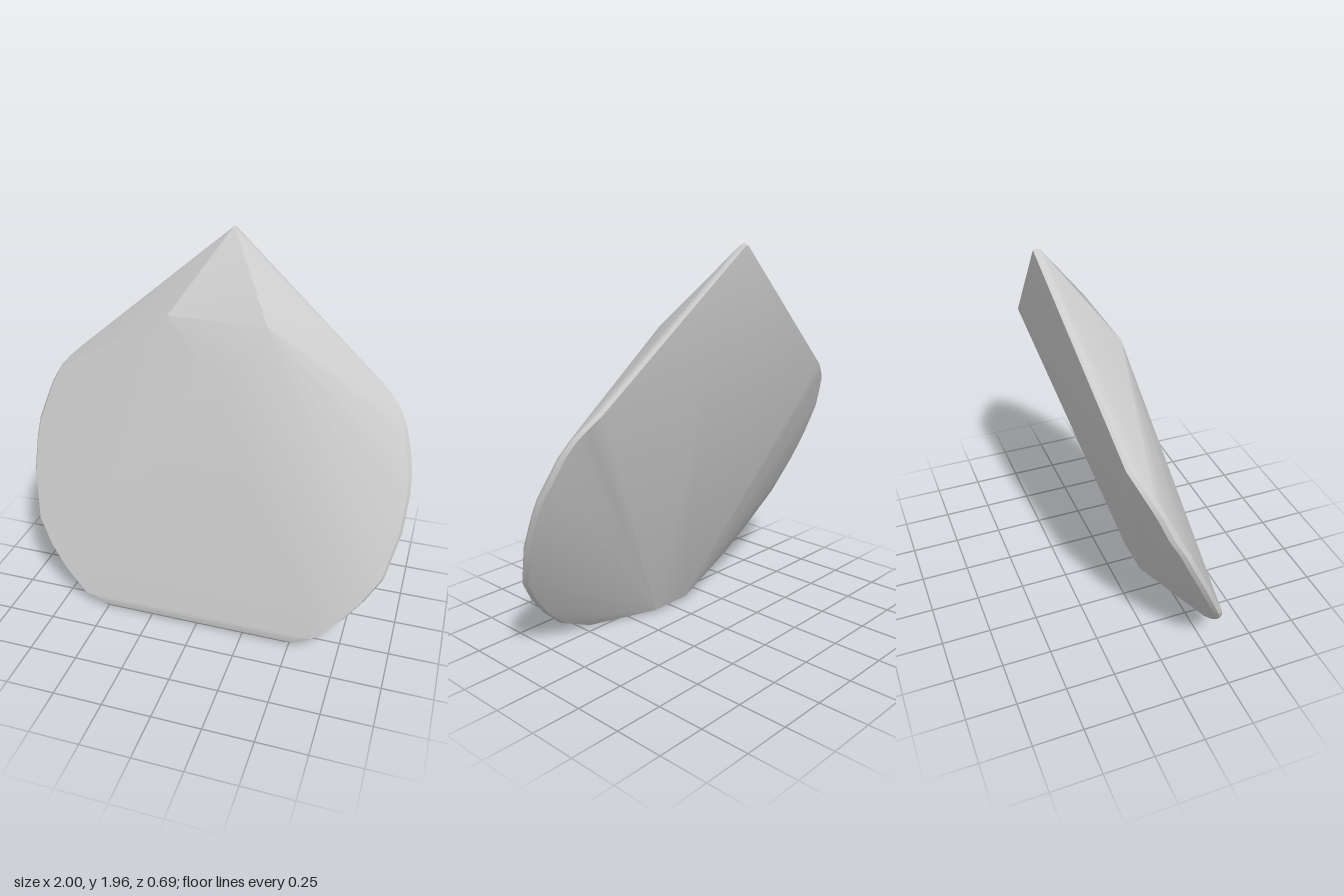
import * as THREE from 'three';
import { ConvexGeometry } from 'three/addons/geometries/ConvexGeometry.js';
import { toCreasedNormals } from 'three/addons/utils/BufferGeometryUtils.js';

// One half of the rim, from shoulder to base: x, y, z
const RIM = [
  [0.80, 1.28, -0.20], [0.855, 1.23, -0.175], [0.90, 1.18, -0.15], [0.94, 1.10, -0.11],
  [0.97, 1.00, -0.07], [0.99, 0.91, -0.02], [0.995, 0.82, 0.02], [0.985, 0.65, 0.10],
  [0.93, 0.43, 0.20], [0.85, 0.31, 0.25], [0.76, 0.20, 0.285], [0.63, 0.08, 0.32],
];

// Flat base edge, rounded from front to underside
const BASE = [
  [0.55, 0.06, 0.345], [0.52, 0.03, 0.342], [0.48, 0.012, 0.33], [0.45, 0.005, 0.30],
];

// Corners of the faceted front and back
const FACETS = [
  [0.25, 1.58, -0.03], // upper front shoulder
  [0.22, 1.48, -0.31], // upper back shoulder
  [0.116, 0.02, 0.15], // heel at the back of the base
];

export function createModel() {
  const points = [];
  const mirrored = (x, y, z) => {
    points.push(new THREE.Vector3(x, y, z), new THREE.Vector3(-x, y, z));
  };

  // The rim is a narrow rounded band
  for (const [x, y, z] of RIM) {
    mirrored(x - 0.01, y, z + 0.022);
    mirrored(x + 0.003, y, z);
    mirrored(x - 0.01, y, z - 0.022);
  }
  for (const p of [...BASE, ...FACETS]) mirrored(...p);

  // Front bulge and small blunt tip
  points.push(new THREE.Vector3(0, 1.33, 0.07));
  mirrored(0.008, 1.95, -0.31);
  mirrored(0.008, 1.95, -0.345);
  points.push(new THREE.Vector3(0, 1.96, -0.328));

  const geometry = toCreasedNormals(new ConvexGeometry(points), 0.35);
  const stone = new THREE.Mesh(geometry, new THREE.MeshStandardMaterial({ color: 0xcccccc }));
  stone.name = 'pointedStone';

  const group = new THREE.Group();
  group.name = 'leaningStone';
  group.add(stone);
  return group;
}
